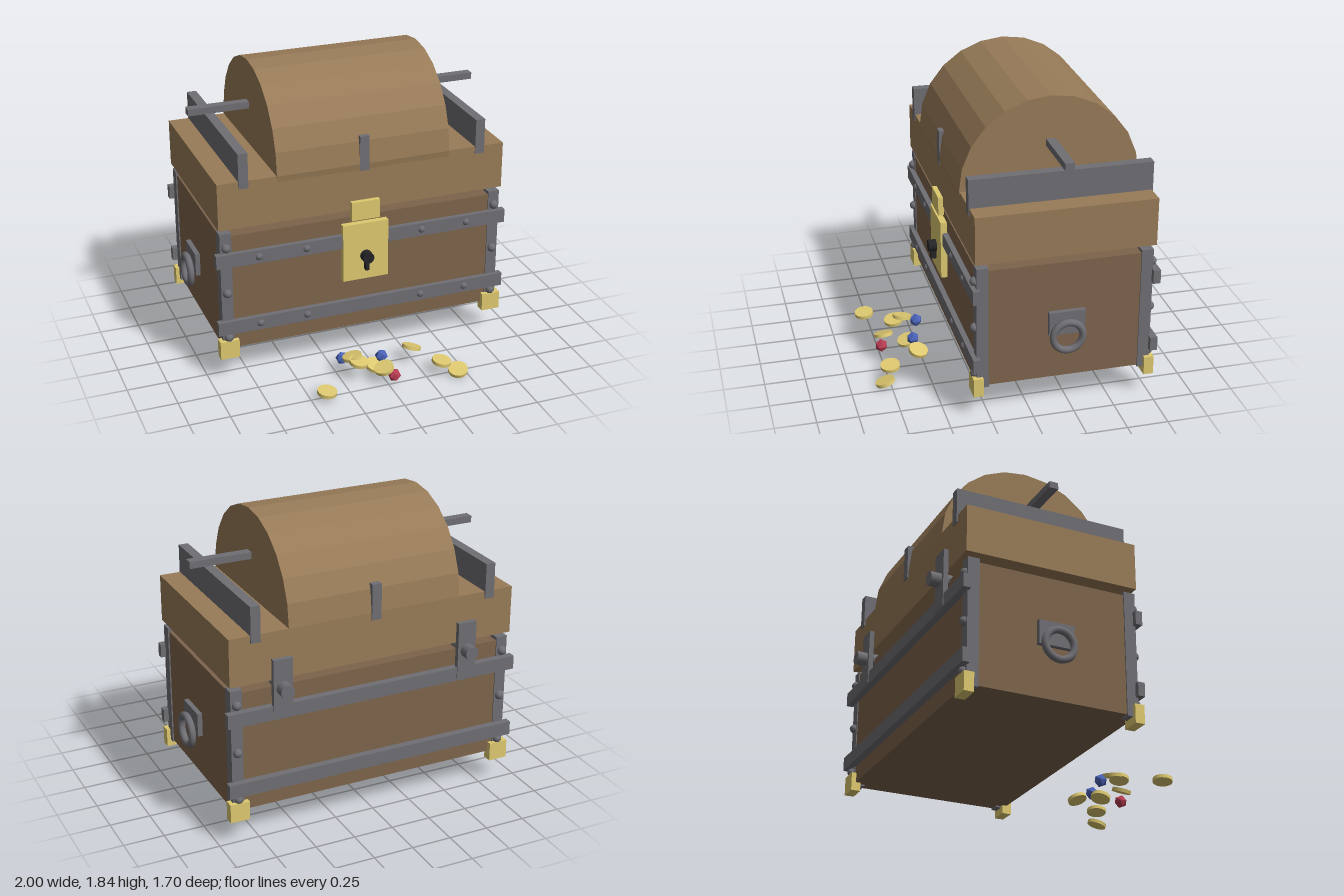
import * as THREE from 'three';

const mat = (color, flatShading = false) => new THREE.MeshStandardMaterial({ color, flatShading });

export function createModel() {
  const root = new THREE.Group();
  const bodyWood = mat(0x7d644c), lidWood = mat(0x987b58, true), iron = mat(0x6e6e74);
  const gold = mat(0xdec970), black = mat(0x242426);
  const blue = mat(0x4a62b8, true), red = mat(0xb83c52, true);
  const midZ = -0.21;

  const add = (name, geometry, material, x, y, z) => {
    const mesh = new THREE.Mesh(geometry, material);
    mesh.name = name;
    mesh.position.set(x, y, z);
    root.add(mesh);
    return mesh;
  };
  // Box given by its minimum and maximum on each axis
  const box = (name, material, [x0, x1], [y0, y1], [z0, z1]) =>
    add(name, new THREE.BoxGeometry(x1 - x0, y1 - y0, z1 - z0), material,
      (x0 + x1) / 2, (y0 + y1) / 2, (z0 + z1) / 2);
  const rivet = (x, y, z, r = 0.028) => add('rivet', new THREE.SphereGeometry(r, 10, 8), iron, x, y, z);

  // Chest body and lid
  box('body', bodyWood, [-0.9, 0.9], [0.21, 0.96], [-0.735, 0.315]);
  box('lidBase', lidWood, [-0.915, 0.915], [1.01, 1.305], [-0.755, 0.33]);
  const barrel = add('lidBarrel', new THREE.CylinderGeometry(0.545, 0.545, 1.1, 24), lidWood, 0, 1.305, midZ);
  barrel.rotation.z = Math.PI / 2;

  // Lid straps and crossbar
  for (const x of [-0.755, 0, 0.755])
    box('lidStrap', iron, [x - 0.03, x + 0.03], [1.26, 1.48], [-0.763, 0.335]);
  box('lidCrossbar', iron, [-0.932, 0.932], [1.545, 1.587], [-0.24, -0.183]);

  // Horizontal bands, front and back
  for (const y of [0.363, 0.812]) {
    box('frontBand', iron, [-0.94, 0.94], [y - 0.043, y + 0.043], [0.305, 0.348]);
    box('backBand', iron, [-0.94, 0.94], [y - 0.043, y + 0.043], [-0.78, -0.735]);
    for (const x of [-0.675, -0.375, 0.375, 0.675]) rivet(x, y, 0.338, 0.025);
  }

  for (const s of [-1, 1]) {
    // Corner posts, feet and their rivets
    for (const f of [-1, 1]) {
      const x = s * 0.872, z = midZ + f * 0.495;
      box('cornerPost', iron, [x - 0.036, x + 0.036], [0.2, 0.98], [z - 0.036, z + 0.036]);
      const fz = midZ + f * 0.525;
      box('cornerFoot', gold, [x - 0.06, x + 0.06], [0.155, 0.272], [fz - 0.03, fz + 0.03]);
      for (const y of [0.29, 0.59, 0.89]) rivet(x, y, midZ + f * 0.535);
    }
    // Side ring handle
    const px = s * 0.935;
    box('handlePlate', iron, [px - 0.015, px + 0.015], [0.515, 0.662], [-0.323, -0.103]);
    const ring = add('handleRing', new THREE.TorusGeometry(0.09, 0.022, 10, 32), iron, s * 0.977, 0.515, midZ);
    ring.rotation.y = Math.PI / 2;
    // Rear hinge
    const hx = s * 0.6;
    box('hingePlate', iron, [hx - 0.06, hx + 0.06], [0.78, 1.14], [-0.785, -0.755]);
    const pin = add('hingePin', new THREE.CylinderGeometry(0.043, 0.043, 0.18, 16), iron, hx, 0.962, -0.76);
    pin.rotation.x = Math.PI / 2;
  }

  // Lock
  box('lockPlate', gold, [-0.147, 0.147], [0.55, 0.925], [0.32, 0.36]);
  box('lockHasp', gold, [-0.09, 0.09], [0.95, 1.07], [0.325, 0.36]);
  const hole = add('keyhole', new THREE.CylinderGeometry(0.037, 0.037, 0.06, 16), black, 0, 0.708, 0.38);
  hole.rotation.x = Math.PI / 2;
  box('keyholeSlot', black, [-0.012, 0.012], [0.62, 0.7], [0.345, 0.395]);

  // Spilled coins: x, y, z, tilt about x, tilt about z
  const coin = new THREE.CylinderGeometry(0.06, 0.06, 0.022, 20);
  for (const [x, y, z, rx, rz] of [
    [-0.405, 0.062, 0.77, 0.1, -0.1], [-0.165, 0.138, 0.56, -0.15, 0.2],
    [-0.145, 0.13, 0.62, 0.15, -0.15], [-0.015, 0.045, 0.56, 0.3, -0.15],
    [-0.015, 0.11, 0.71, 0.12, 0.32], [0.24, 0.11, 0.535, -0.2, -0.3],
    [0.355, 0.095, 0.735, 0.1, -0.15], [0.445, 0.042, 0.785, 0.3, 0.12],
  ]) add('coin', coin, gold, x, y, z).rotation.set(rx, 0, rz);

  // Gems
  const gem = new THREE.IcosahedronGeometry(0.041, 0);
  add('blueGem', gem, blue, -0.195, 0.08, 0.463);
  add('blueGem', gem, blue, 0.04, 0.085, 0.53);
  add('redGem', gem, red, 0.043, 0.062, 0.735);

  return root;
}
